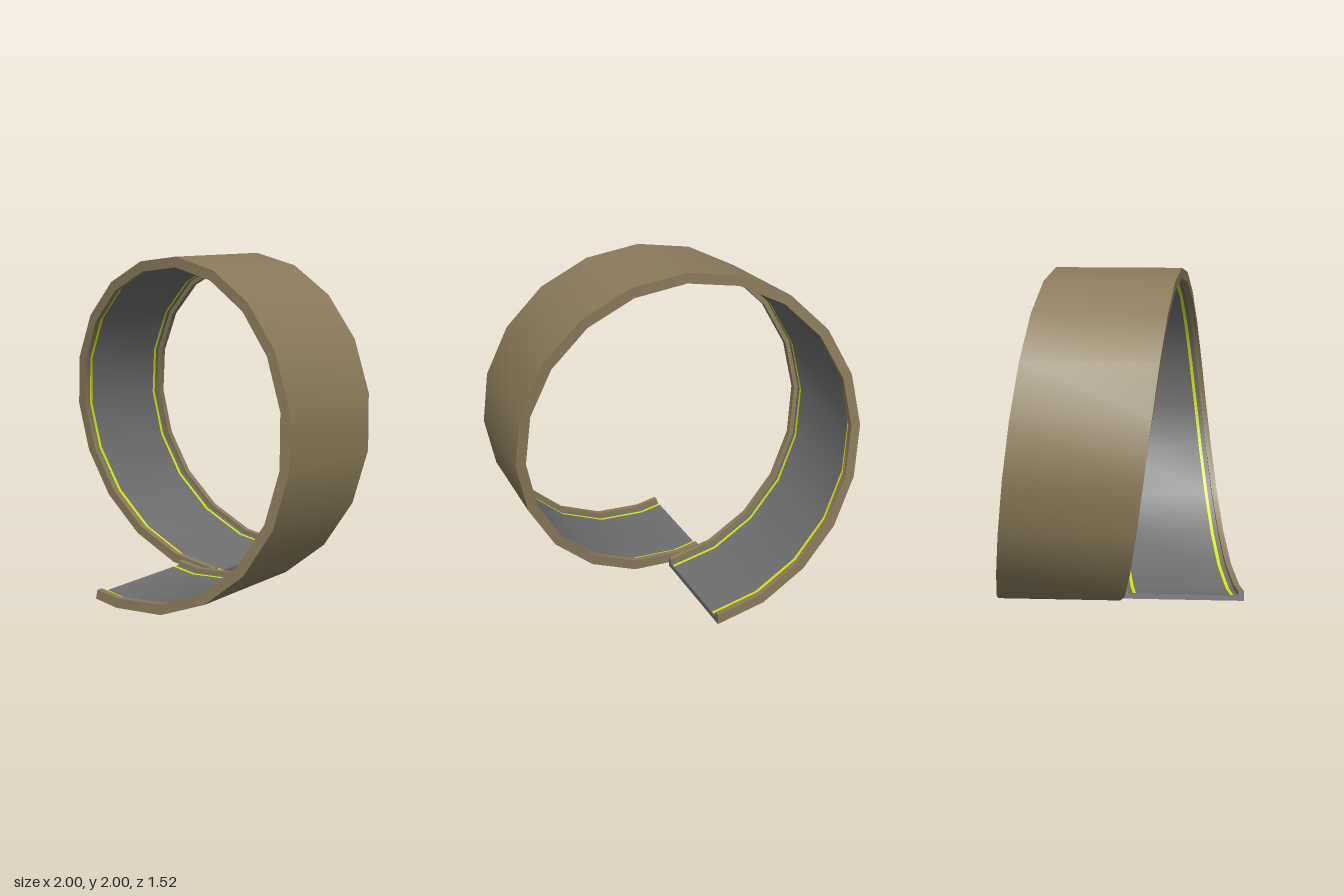
import * as THREE from 'three';

const DEG = Math.PI / 180;
const STEP = 18.24, END = 373.6;          // degrees per segment, total sweep
const WIDTH = 0.735, TRAVEL = 0.785;      // track width, sideways drift of the corkscrew
const OUTER = 1, FLOOR = 0.968, RIM = 0.94, WALL = 0.035;

// Point on the corkscrew at an angle, for a radius and a distance across the track
function place(angle, r, across) {
  const a = angle * DEG;
  return [-r * Math.sin(a), 1 - r * Math.cos(a), -0.76 + TRAVEL * angle / END + across];
}

// Segment angles; the last segment is shorter
const angles = [];
for (let a = 0; a < END; a += STEP) angles.push(a);
angles.push(END);

function geometryFrom(points, index) {
  const g = new THREE.BufferGeometry();
  g.setAttribute('position', new THREE.Float32BufferAttribute(points.flat(), 3));
  g.setIndex(index);
  g.computeVertexNormals();
  return g;
}

// Band swept along the corkscrew between two profile points [radius, across]
function band(a, b) {
  const points = [], index = [];
  angles.forEach((angle, i) => {
    points.push(place(angle, ...a), place(angle, ...b));
    const n = i * 2;
    if (i < angles.length - 1) index.push(n, n + 1, n + 2, n + 1, n + 3, n + 2);
  });
  return geometryFrom(points, index);
}

// Flat rectangle closing part of the channel at one end
function cap(angle, r0, r1, z0, z1, flip) {
  const points = [[r0, z0], [r0, z1], [r1, z1], [r1, z0]].map(p => place(angle, ...p));
  return geometryFrom(points, flip ? [0, 2, 1, 0, 3, 2] : [0, 1, 2, 0, 2, 3]);
}

function material(name, color) {
  const m = new THREE.MeshStandardMaterial({ color });
  m.name = name;
  return m;
}

export function createModel() {
  const model = new THREE.Group();
  model.name = 'corkscrewLoop';
  const brown = material('brown shell', 0x8a7a5a);
  const grey = material('grey road', 0x6e6e6e);
  const yellow = material('yellow line', 0xd6e80a);

  function add(name, geometry, mat) {
    const mesh = new THREE.Mesh(geometry, mat);
    mesh.name = name;
    model.add(mesh);
  }

  // Channel profile: underside, front kerb, road, back kerb
  const W = WIDTH, T = WALL;
  const profile = [
    [OUTER, 0], [OUTER, W], [RIM, W], [RIM, W - T], [FLOOR, W - T],
    [FLOOR, T], [RIM, T], [RIM, 0], [OUTER, 0],
  ];
  const names = ['underside', 'frontKerbOutside', 'frontKerbTop', 'frontKerbInside',
    'road', 'backKerbInside', 'backKerbTop', 'backKerbOutside'];
  names.forEach((name, i) =>
    add(name, band(profile[i], profile[i + 1]), name === 'road' ? grey : brown));

  // Edge lines lying just above the road
  const r = FLOOR - 0.003;
  add('backLine', band([r, 0.083], [r, 0.063]), yellow);
  add('frontLine', band([r, W - 0.063], [r, W - 0.083]), yellow);

  // Closed ends
  [[0, true, 'start'], [END, false, 'finish']].forEach(([angle, flip, end]) => {
    add(end + 'FloorCap', cap(angle, OUTER, FLOOR, 0, W, flip), grey);
    add(end + 'BackKerbCap', cap(angle, FLOOR, RIM, 0, T, flip), grey);
    add(end + 'FrontKerbCap', cap(angle, FLOOR, RIM, W - T, W, flip), grey);
  });

  return model;
}
